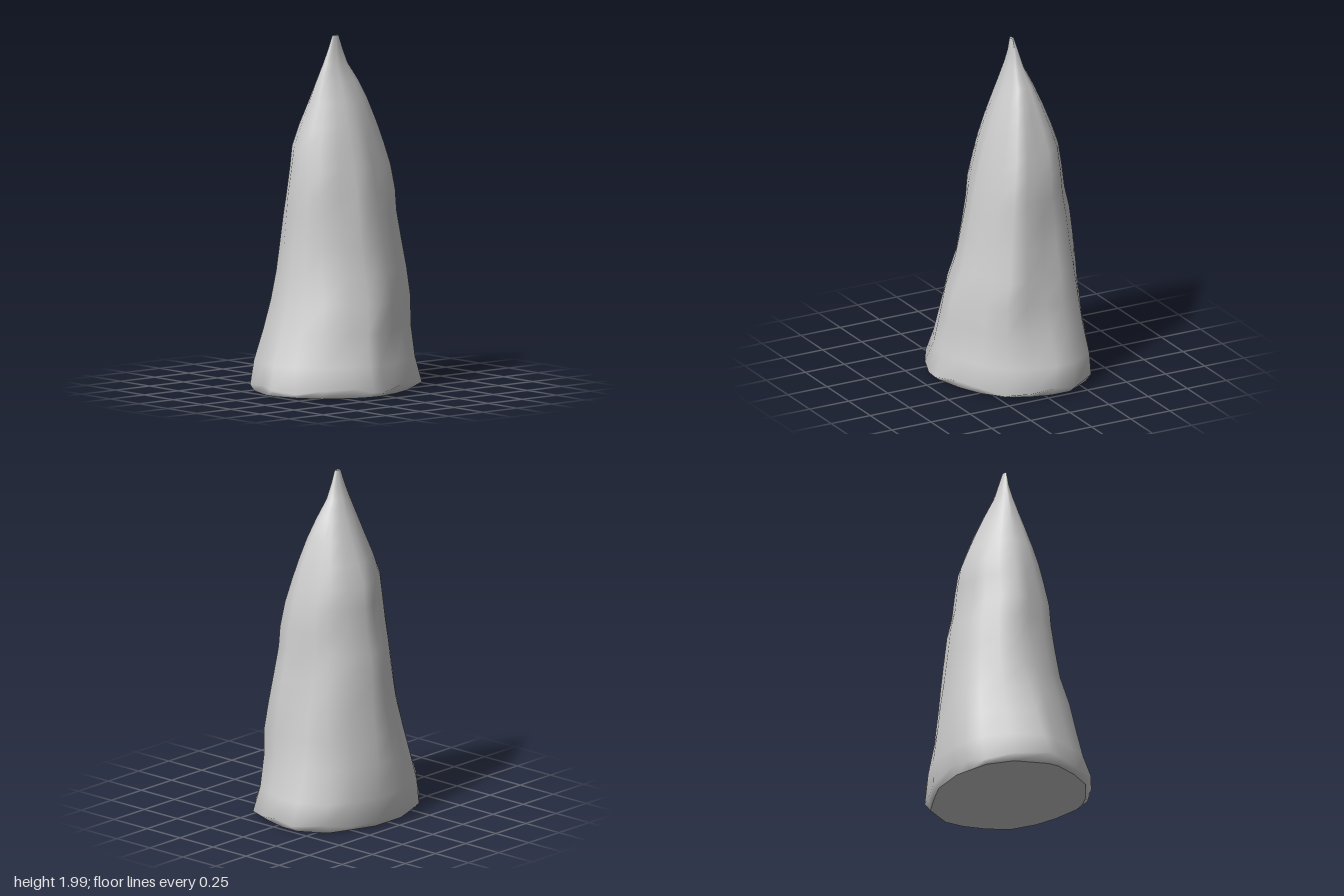
import * as THREE from 'three';

// Plan outlines (x, z) scaled to a -1..1 box: rounded foot and faceted upper body
const foot = [
  [-0.37, -1], [-0.09, -1], [0.23, -0.93], [0.53, -0.8], [0.76, -0.54], [0.9, -0.27], [1, 0.05],
  [0.99, 0.2], [0.92, 0.39], [0.69, 0.72], [0.39, 0.89], [0.07, 1], [-0.09, 1], [-0.54, 0.87],
  [-0.82, 0.62], [-0.92, 0.39], [-1, 0.2], [-1, -0.23], [-0.87, -0.54], [-0.74, -0.81],
];
const body = [
  [-0.3, -0.92], [0, -0.95], [0.35, -1], [0.64, -0.95], [0.8, -0.62], [0.93, -0.3], [1, 0],
  [0.94, 0.2], [0.83, 0.5], [0.62, 0.85], [0.35, 0.96], [0.05, 1], [-0.2, 1], [-0.52, 0.82],
  [-0.75, 0.6], [-0.88, 0.35], [-0.97, 0.12], [-1, -0.15], [-0.85, -0.52], [-0.6, -0.85],
];

// Extents per level: y, left edge, right edge, back edge, front edge
const levels = [
  [0.01, -0.41, 0.4, -0.47, 0.49],
  [0.05, -0.43, 0.435, -0.52, 0.52],
  [0.18, -0.44, 0.395, -0.49, 0.485],
  [0.36, -0.42, 0.365, -0.435, 0.42],
  [0.52, -0.405, 0.345, -0.41, 0.37],
  [0.68, -0.385, 0.295, -0.39, 0.33],
  [0.84, -0.37, 0.265, -0.36, 0.305],
  [1.0, -0.35, 0.235, -0.34, 0.285],
  [1.12, -0.32, 0.215, -0.335, 0.28],
  [1.26, -0.305, 0.185, -0.315, 0.255],
  [1.38, -0.29, 0.155, -0.285, 0.235],
  [1.5, -0.245, 0.12, -0.25, 0.195],
  [1.63, -0.19, 0.075, -0.205, 0.145],
  [1.74, -0.14, 0.03, -0.155, 0.105],
  [1.84, -0.095, -0.005, -0.09, 0.065],
  [1.92, -0.07, -0.022, -0.06, 0.035],
  [2.0, -0.047, -0.03, -0.03, 0.012],
];

const SIDES = foot.length;

// One ring of points: the outline changes from foot to body going up
function ring([y, left, right, back, front], row) {
  const t = THREE.MathUtils.smoothstep(y, 0.05, 0.9);
  const cx = (left + right) / 2, cz = (back + front) / 2;
  return foot.map(([fx, fz], i) => {
    const x = THREE.MathUtils.lerp(fx, body[i][0], t);
    const z = THREE.MathUtils.lerp(fz, body[i][1], t);
    // shallow dents, and an uneven rim near the ground
    const dent = row > 1 ? 1 - 0.018 * (1 + Math.sin(i * 2.3 + row * 1.1)) * 0.5 : 1;
    const lift = row === 1 ? 0.018 * Math.sin(i * 1.7) : 0;
    return [cx + x * dent * (right - left) / 2, y + lift, cz + z * dent * (front - back) / 2];
  });
}

function makeMesh(name, points, index, material) {
  const geometry = new THREE.BufferGeometry();
  geometry.setAttribute('position', new THREE.Float32BufferAttribute(points.flat(), 3));
  geometry.setIndex(index);
  geometry.computeVertexNormals();
  const mesh = new THREE.Mesh(geometry, material);
  mesh.name = name;
  return mesh;
}

// Flat fan that closes a ring
function makeCap(name, points, facesUp, material) {
  const center = [0, 1, 2].map((k) => points.reduce((sum, p) => sum + p[k], 0) / SIDES);
  const index = [];
  for (let i = 0; i < SIDES; i++) {
    const j = (i + 1) % SIDES;
    index.push(SIDES, ...(facesUp ? [j, i] : [i, j]));
  }
  return makeMesh(name, [...points, center], index, material);
}

export function createModel() {
  const group = new THREE.Group();
  group.name = 'rockSpire';
  const material = new THREE.MeshStandardMaterial({ color: 0xcccccc });
  const rings = levels.map(ring);

  // Tapering rock wall
  const index = [];
  for (let r = 0; r < rings.length - 1; r++) {
    for (let i = 0; i < SIDES; i++) {
      const a = r * SIDES + i, b = r * SIDES + (i + 1) % SIDES;
      index.push(a, a + SIDES, b, b, a + SIDES, b + SIDES);
    }
  }
  group.add(makeMesh('rockWall', rings.flat(), index, material));

  // Underside and blunt tip
  group.add(makeCap('underside', rings[0], false, material));
  group.add(makeCap('tip', rings[rings.length - 1], true, material));
  return group;
}
